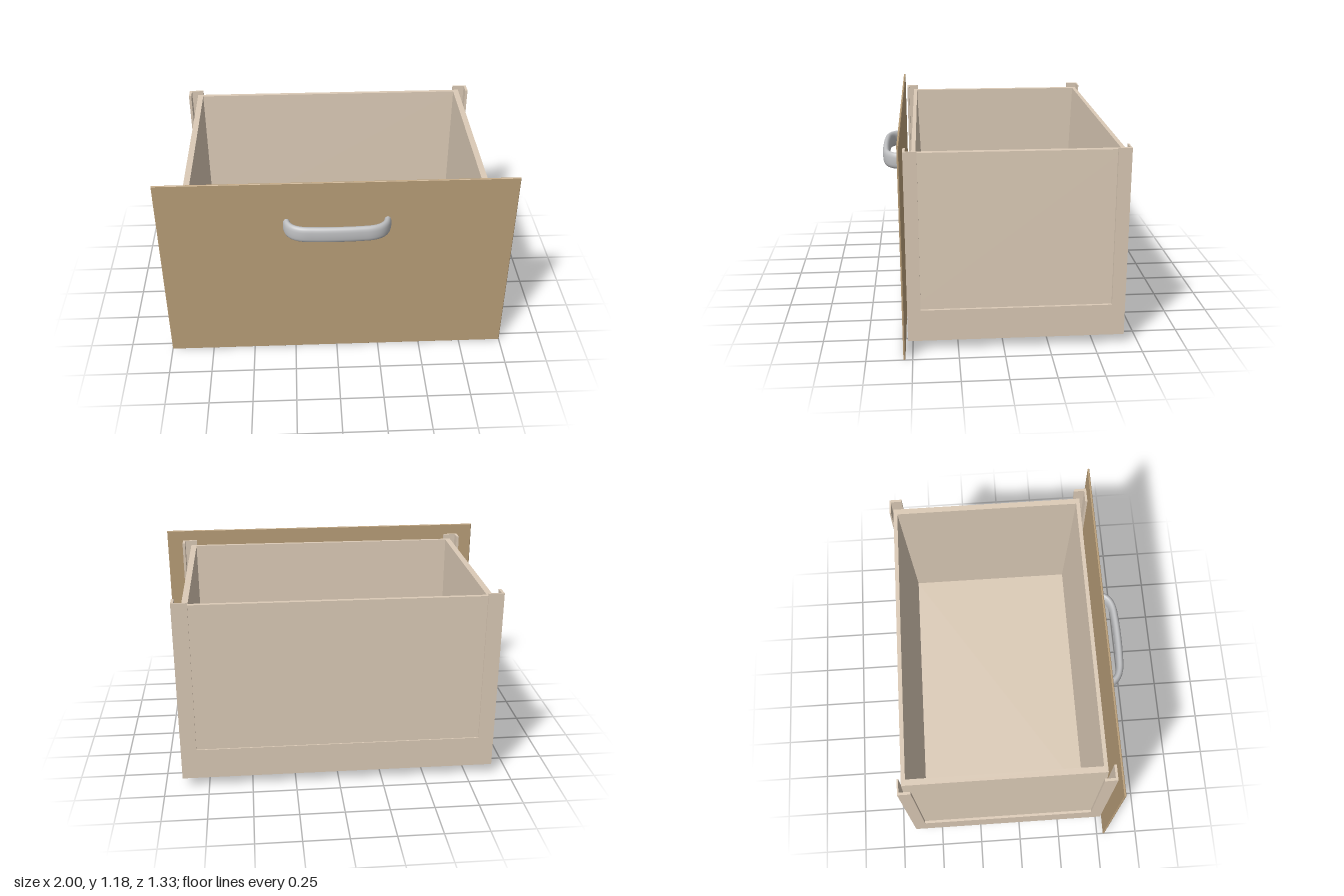
import * as THREE from 'three';
import { mergeVertices } from 'three/addons/utils/BufferGeometryUtils.js';

const tan = new THREE.MeshStandardMaterial({ color: 0xdccbb7 });
tan.name = 'pale wood';
const brown = new THREE.MeshStandardMaterial({ color: 0xba9f79 });
brown.name = 'brown wood';
const grey = new THREE.MeshStandardMaterial({ color: 0xbebfc1 });
grey.name = 'grey metal';

const BACK = -0.665, FRONT = 0.525, HALF = 0.9;   // outer frame limits
const RAIL_BOTTOM = 0.06, RAIL_TOP = 0.24, WALL_TOP = 1.105, POST_TOP = 1.125;

// plan outline (x, z) raised from y0 to y1
function raise(outline, holes, y0, y1) {
  const points = (list) => list.map(([x, z]) => new THREE.Vector2(x, -z));
  const shape = new THREE.Shape(points(outline));
  for (const hole of holes) shape.holes.push(new THREE.Path(points(hole).reverse()));
  return new THREE.ExtrudeGeometry(shape, { depth: y1 - y0, bevelEnabled: false })
    .rotateX(-Math.PI / 2).translate(0, y0, 0);
}

const rect = (x, z0, z1) => [[-x, z0], [x, z0], [x, z1], [-x, z1]];

// flat-sided skin through a series of rectangles [halfX, zBack, zFront, y]
function loftRects(levels) {
  const loops = levels.map(([x, z0, z1, y]) => rect(x, z0, z1).map(([a, b]) => [a, y, b]));
  const positions = [];
  for (let i = 0; i < loops.length - 1; i++) {
    for (let j = 0; j < 4; j++) {
      const k = (j + 1) % 4;
      const a = loops[i][j], b = loops[i][k], c = loops[i + 1][j], d = loops[i + 1][k];
      positions.push(...a, ...c, ...b, ...b, ...c, ...d);
    }
  }
  const geometry = new THREE.BufferGeometry();
  geometry.setAttribute('position', new THREE.Float32BufferAttribute(positions, 3));
  geometry.computeVertexNormals();
  return geometry;
}

// bowed band with a soft, tall section
function handleGeometry() {
  const half = [[0.282, 0.545], [0.272, 0.58], [0.245, 0.612], [0.2, 0.632], [0.12, 0.64]];
  const path = new THREE.CatmullRomCurve3([
    ...half.map(([x, z]) => new THREE.Vector3(-x, 0, z)),
    new THREE.Vector3(0, 0, 0.643),
    ...half.slice().reverse().map(([x, z]) => new THREE.Vector3(x, 0, z)),
  ]);
  const R = 0.021;
  const tube = new THREE.TubeGeometry(path, 60, R, 20, false);
  const p = tube.attributes.position;
  for (let i = 0; i < p.count; i++) {
    const y = p.getY(i);
    p.setY(i, 0.906 + Math.sign(y) * 0.048 * Math.pow(Math.abs(y) / R, 0.7));
  }
  tube.deleteAttribute('uv');
  tube.deleteAttribute('normal');
  const band = mergeVertices(tube, 1e-5);
  band.computeVertexNormals();
  return band;
}

export function createModel() {
  const group = new THREE.Group();
  const add = (name, geometry, material) => {
    const mesh = new THREE.Mesh(geometry, material);
    mesh.name = name;
    group.add(mesh);
    return mesh;
  };

  // base rail ring and the floor set up inside it
  add('baseRail', raise(rect(HALF, BACK, FRONT), [rect(0.81, -0.59, 0.455)], RAIL_BOTTOM, RAIL_TOP), tan);
  add('floor', raise(rect(0.81, -0.59, 0.455), [], 0.095, 0.14), tan);

  // walls lean inward outside and thicken toward the floor inside
  add('walls', loftRects([
    [0.885, -0.658, 0.512, RAIL_TOP],
    [0.846, -0.645, 0.48, WALL_TOP],
    [0.812, -0.622, 0.458, WALL_TOP],
    [0.807, -0.586, 0.425, 0.14],
  ]), tan);

  // thin L-shaped corner posts
  for (const sx of [-1, 1]) {
    for (const [z, dir, thick] of [[BACK, 1, 0.008], [FRONT, -1, 0.013]]) {
      const outline = [
        [HALF, 0], [HALF, 0.073], [0.885, 0.073], [0.885, thick], [0.812, thick], [0.812, 0],
      ].map(([x, d]) => [x * sx, z + d * dir]);
      add('cornerPost', raise(outline, [], RAIL_TOP, POST_TOP), tan);
    }
  }

  // front board with a small eased edge
  const board = new THREE.Shape([[-0.997, 0.003], [0.997, 0.003], [0.997, 1.182], [-0.997, 1.182]]
    .map(([x, y]) => new THREE.Vector2(x, y)));
  add('frontBoard', new THREE.ExtrudeGeometry(board, {
    depth: 0.005, bevelSize: 0.003, bevelThickness: 0.003, bevelSegments: 1,
  }).translate(0, 0, 0.542), brown);

  add('handle', handleGeometry(), grey);

  return group;
}
